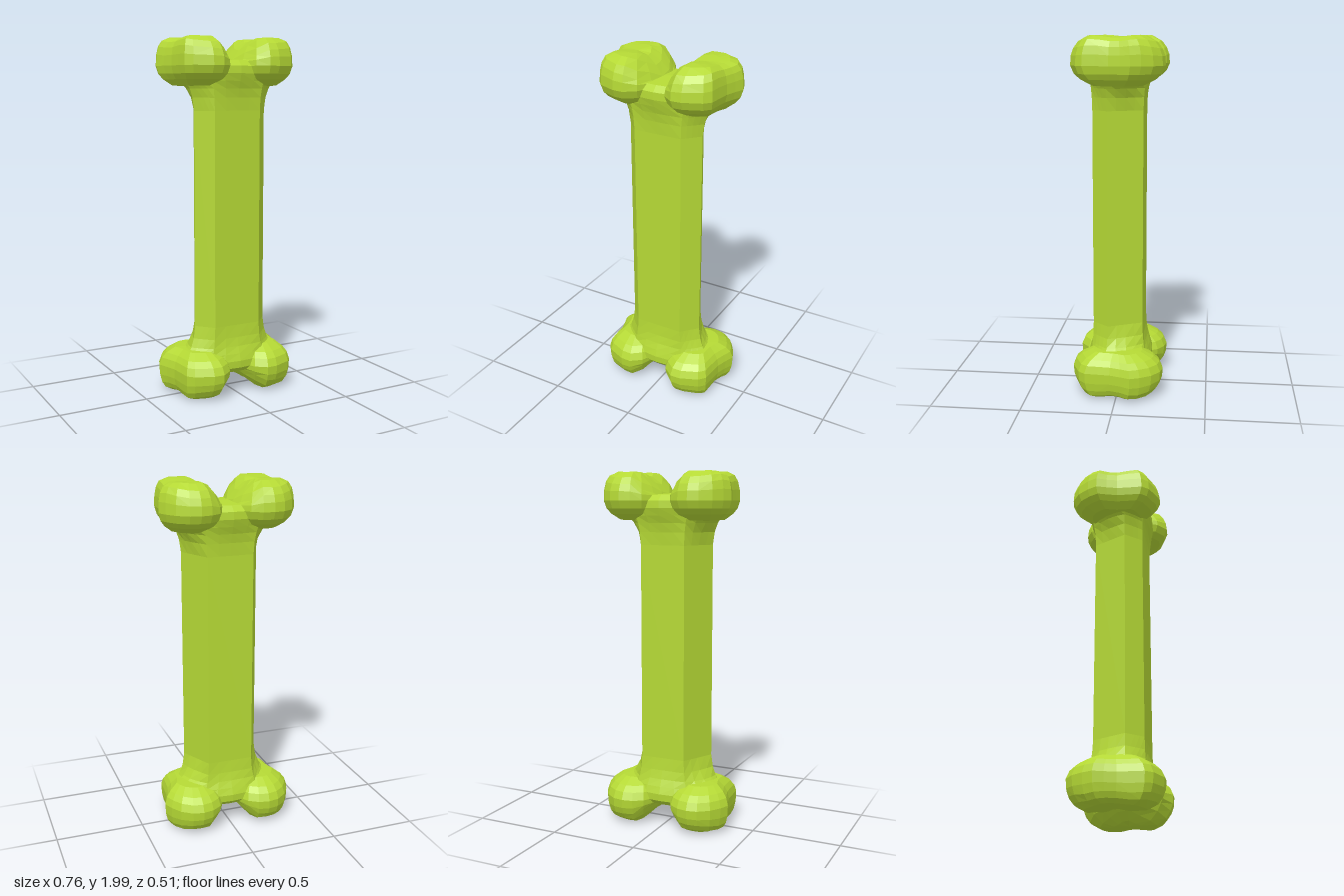
import * as THREE from 'three';

// Skin a stack of horizontal rings (arrays of Vector3, bottom to top); sx, sy mirror it.
function loft(rings, sx = 1, sy = 1) {
  const n = rings[0].length, pos = [], idx = [];
  for (const ring of rings) for (const p of ring) pos.push(p.x * sx, sy > 0 ? p.y : 2 - p.y, p.z);
  const tri = (a, b, c) => (sx * sy > 0 ? idx.push(a, b, c) : idx.push(a, c, b));
  for (let i = 0; i < rings.length - 1; i++) {
    for (let j = 0; j < n; j++) {
      const a = i * n + j, b = i * n + (j + 1) % n;
      tri(a, b, a + n);
      tri(b, b + n, a + n);
    }
  }
  const g = new THREE.BufferGeometry();
  g.setAttribute('position', new THREE.Float32BufferAttribute(pos, 3));
  g.setIndex(idx);
  g.computeVertexNormals();
  return g;
}

// Six-sided shaft section, as [x, z]
const HEX = [[-0.14, 0.142], [0.14, 0.142], [0.22, 0.052], [0.13, -0.135], [-0.13, -0.135], [-0.22, 0.052]];

// Plan outline of one knob, as [x, z]
const KNOB = [
  [0.0, 0.03], [0.04, 0.12], [0.08, 0.205], [0.14, 0.252], [0.2, 0.25], [0.3, 0.208], [0.332, 0.17],
  [0.336, 0.1], [0.342, 0.03], [0.36, -0.03], [0.38, -0.085], [0.358, -0.14], [0.32, -0.2],
  [0.26, -0.245], [0.2, -0.257], [0.14, -0.245], [0.085, -0.21], [0.045, -0.14], [0.01, -0.07],
];

// Knob height profile, as [outline scale, y]
const PROFILE = [
  [0, 1.73], [0.55, 1.735], [0.8, 1.768], [0.93, 1.798], [1, 1.84], [0.985, 1.9],
  [0.93, 1.947], [0.83, 1.978], [0.62, 1.997], [0.35, 2.0], [0, 2.0],
];

function knobRings() {
  const cx = 0.2;
  return PROFILE.map(([s, y]) => KNOB.map(([ox, oz]) => {
    const x = cx + (ox - cx) * s, z = oz * s;
    const top = THREE.MathUtils.smoothstep(y, 1.84, 1.97);
    // the top falls towards the central notch and dips slightly at mid-depth
    const notch = Math.max(0, 0.15 - x) * 0.75;
    const dip = 0.014 * Math.exp(-((z / 0.08) ** 2));
    const ends = 0.22 * Math.max(0, Math.abs(z) - 0.14);
    return new THREE.Vector3(x, y - top * (notch + dip + ends), z);
  }));
}

// Neck: the shaft section blends into a wide oval under the knobs
function neckRings() {
  const steps = [[1.6, 0, 1], [1.67, 0.13, 1], [1.72, 0.36, 1], [1.76, 0.68, 1], [1.8, 0.95, 1],
    [1.84, 0.9, 1], [1.87, 0.8, 0.85], [1.88, 0.8, 0]];
  const base = [];
  HEX.forEach(([x, z], i) => {
    const [nx, nz] = HEX[(i + 1) % 6];
    for (let k = 0; k < 4; k++) base.push([x + (nx - x) * k / 4, z + (nz - z) * k / 4]);
  });
  return steps.map(([y, t, s]) => base.map(([x, z]) => {
    const a = Math.atan2(z / 0.14, x / 0.22);
    return new THREE.Vector3(
      THREE.MathUtils.lerp(x, 0.315 * Math.cos(a), t) * s, y,
      THREE.MathUtils.lerp(z, 0.185 * Math.sin(a), t) * s);
  }));
}

export function createModel() {
  const model = new THREE.Group();
  model.name = 'bone';
  const green = new THREE.MeshStandardMaterial({ color: 0xb5d935, flatShading: true });
  green.name = 'lime green';
  const add = (name, geometry) => {
    const mesh = new THREE.Mesh(geometry, green);
    mesh.name = name;
    model.add(mesh);
  };

  add('shaft', loft([0.4, 1.6].map((y) => HEX.map(([x, z]) => new THREE.Vector3(x, y, z)))));

  // Matching ends, mirrored top to bottom and left to right
  for (const [end, sy] of [['upper', 1], ['lower', -1]]) {
    add(end + 'Neck', loft(neckRings(), 1, sy));
    for (const [side, sx] of [['Left', 1], ['Right', -1]]) {
      add(end + side + 'Knob', loft(knobRings(), sx, sy));
    }
  }
  return model;
}
